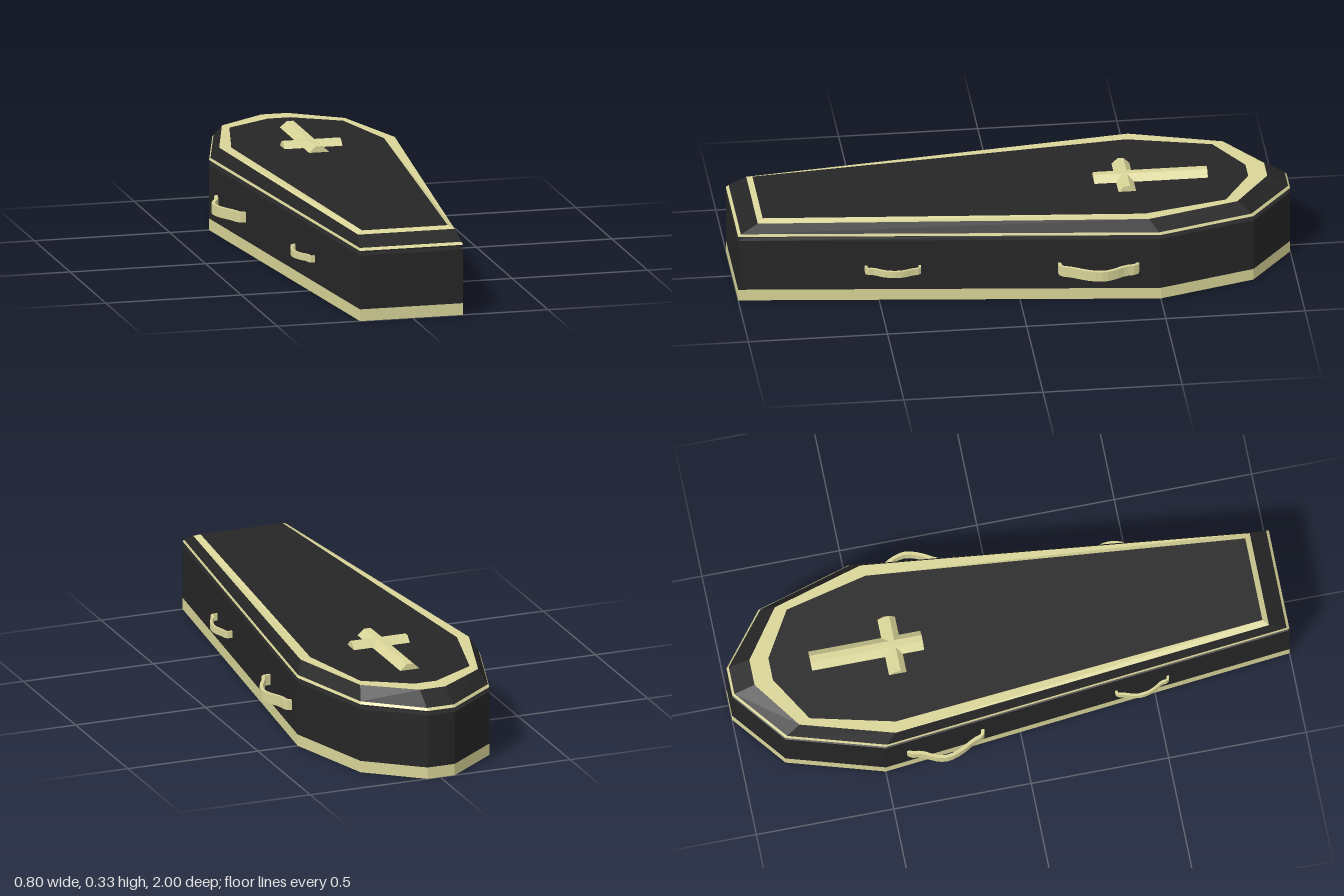
import * as THREE from 'three';

const black = new THREE.MeshStandardMaterial({ color: 0x262626, flatShading: true, side: THREE.DoubleSide });
const gold = new THREE.MeshStandardMaterial({ color: 0xd8d498, flatShading: true, side: THREE.DoubleSide });
const CENTRE = -0.004;

// Eight-sided ring from half an outline: foot, shoulder, temple, head.
// Each entry is [x, z] with an optional own height.
function ring(half, y) {
  const side = half.map(([x, z, h = y]) => [x, h, z]);
  const other = side.map(([x, h, z]) => [-x, h, z]).reverse();
  return [...side, ...other].map(([x, h, z]) => [x + CENTRE, h, z]);
}

// Single-skin surface through a stack of rings, optionally closed on top
function loft(name, material, rings, cap = false) {
  const pos = [];
  const tri = (a, b, c) => pos.push(...a, ...b, ...c);
  for (let r = 0; r + 1 < rings.length; r++) {
    const lo = rings[r], hi = rings[r + 1];
    for (let i = 0; i < lo.length; i++) {
      const j = (i + 1) % lo.length;
      tri(lo[i], lo[j], hi[j]);
      tri(lo[i], hi[j], hi[i]);
    }
  }
  if (cap) {
    const top = rings[rings.length - 1];
    for (let i = 1; i + 1 < top.length; i++) tri(top[0], top[i], top[i + 1]);
  }
  const g = new THREE.BufferGeometry();
  g.setAttribute('position', new THREE.Float32BufferAttribute(pos, 3));
  g.computeVertexNormals();
  const mesh = new THREE.Mesh(g, material);
  mesh.name = name;
  return mesh;
}

// Bar with bevelled sides, running along z and centred on its length
function bevelledBar(name, width, length, height) {
  const w = width / 2, t = width / 6;
  const s = new THREE.Shape([[-w, 0], [w, 0], [t, height], [-t, height]].map(p => new THREE.Vector2(...p)));
  const g = new THREE.ExtrudeGeometry(s, { depth: length, bevelEnabled: false });
  g.translate(0, 0, -length / 2);
  const mesh = new THREE.Mesh(g, gold);
  mesh.name = name;
  return mesh;
}

// Bowed flat strap handle following [x, z] points on the given side
function handle(name, points, y0, y1, thickness, side) {
  const curve = new THREE.CatmullRomCurve3(points.map(([x, z]) => new THREE.Vector3(x * side, -z, 0)));
  const outer = [], inner = [];
  for (let i = 0; i <= 18; i++) {
    const p = curve.getPoint(i / 18), t = curve.getTangent(i / 18);
    const nx = -t.y * thickness / 2, ny = t.x * thickness / 2;
    outer.push(new THREE.Vector2(p.x + nx, p.y + ny));
    inner.unshift(new THREE.Vector2(p.x - nx, p.y - ny));
  }
  const g = new THREE.ExtrudeGeometry(new THREE.Shape([...outer, ...inner]), { depth: y1 - y0, bevelEnabled: false });
  g.rotateX(-Math.PI / 2);
  g.translate(0, y0, 0);
  const mesh = new THREE.Mesh(g, gold);
  mesh.name = name;
  return mesh;
}

export function createModel() {
  const model = new THREE.Group();
  model.name = 'coffin';

  const wall = [[0.19, 1], [0.351, -0.5], [0.248, -0.845], [0.052, -1]];
  const groove = [[0.178, 0.98], [0.328, -0.49], [0.234, -0.83], [0.05, -0.98]];
  const rim = [[0.188, 0.99], [0.347, -0.495], [0.245, -0.838], [0.052, -0.992]];
  const trimOuter = [[0.178, 0.928, 0.3], [0.324, -0.46], [0.227, -0.79], [0.048, -0.918]];
  const trimInner = [[0.158, 0.908], [0.282, -0.45], [0.21, -0.75], [0.042, -0.85]];

  // Open-bottomed box with a recessed neck under the lid
  model.add(loft('baseBand', gold, [ring(wall, 0), ring(wall, 0.043)]));
  model.add(loft('sideWalls', black, [ring(wall, 0.043), ring(wall, 0.24), ring(groove, 0.247), ring(groove, 0.256)]));

  // Lid
  model.add(loft('lidUnderside', black, [ring(groove, 0.256), ring(wall, 0.257)]));
  model.add(loft('lidRim', gold, [ring(wall, 0.257), ring(rim, 0.266)]));
  model.add(loft('lidSlope', black, [ring(rim, 0.266), ring(trimOuter, 0.31)]));
  model.add(loft('lidTrim', gold, [ring(trimOuter, 0.31), ring(trimInner, 0.31)]));
  model.add(loft('lidPanel', black, [ring(trimInner, 0.31)], true));

  // Inverted cross on the lid
  const cross = new THREE.Group();
  cross.name = 'cross';
  const upright = bevelledBar('crossUpright', 0.074, 0.408, 0.022);
  upright.position.set(-0.002, 0.31, -0.502);
  const arm = bevelledBar('crossArm', 0.064, 0.214, 0.021);
  arm.rotation.y = Math.PI / 2;
  arm.position.set(-0.002, 0.31, -0.408);
  cross.add(upright, arm);
  model.add(cross);

  // Two handles on each side
  const large = [[0.33, -0.42], [0.352, -0.412], [0.361, -0.37], [0.384, -0.325], [0.393, -0.285],
    [0.38, -0.235], [0.35, -0.18], [0.335, -0.145], [0.305, -0.14]];
  const small = [[0.25, 0.356], [0.274, 0.358], [0.281, 0.385], [0.291, 0.415], [0.293, 0.45],
    [0.281, 0.49], [0.262, 0.52], [0.256, 0.545], [0.23, 0.546]];
  for (const [side, label] of [[1, 'left'], [-1, 'right']]) {
    model.add(handle(label + 'LargeHandle', large, 0.109, 0.147, 0.012, side));
    model.add(handle(label + 'SmallHandle', small, 0.115, 0.14, 0.009, side));
  }
  return model;
}
